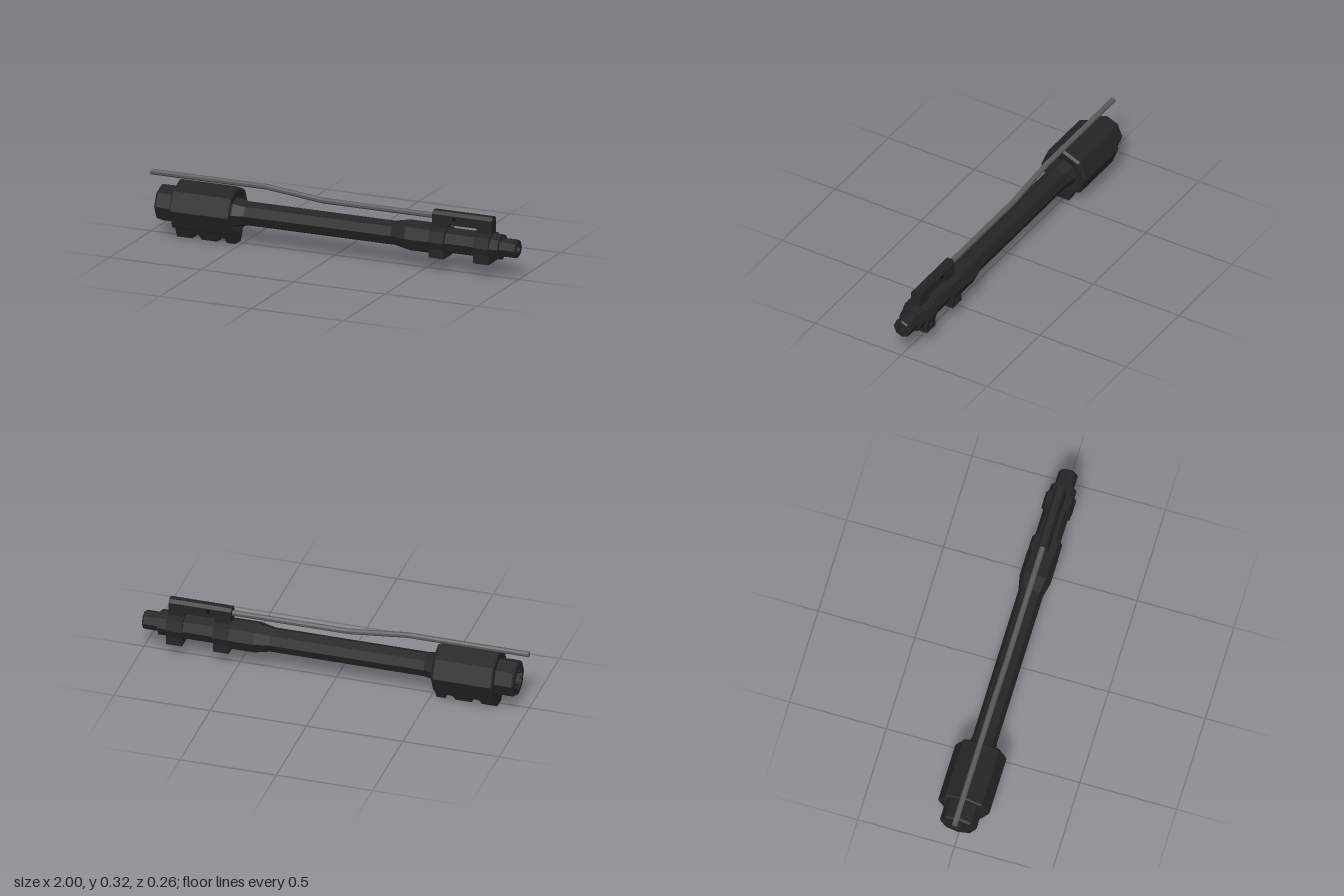
import * as THREE from 'three';

const AXIS = 0.157; // height of the bore line

const mat = (name, color) => {
  const m = new THREE.MeshStandardMaterial({ color, flatShading: true });
  m.name = name;
  return m;
};

export function createModel() {
  const model = new THREE.Group();
  model.name = 'barrelAssembly';
  const black = mat('blackSteel', 0x242424);
  const grey = mat('greySteel', 0x5a5a5a);
  const dark = mat('darkRecess', 0x0c0c0c);

  const add = (name, geometry, material = black) => {
    const mesh = new THREE.Mesh(geometry, material);
    mesh.name = name;
    model.add(mesh);
    return mesh;
  };

  // Eight-sided turned part along x from [x, radius] pairs
  const turned = (name, profile) => {
    const g = new THREE.LatheGeometry(profile.map(([x, r]) => new THREE.Vector2(r, x)), 8);
    return add(name, g.rotateZ(-Math.PI / 2).translate(0, AXIS, 0));
  };

  // Constant cross-section along x, mirrored from its [z, y] half outline (bottom to top)
  const prism = (name, half, x0, x1) => {
    const pts = [...half, ...half.slice().reverse().map(([z, y]) => [-z, y])];
    const shape = new THREE.Shape(pts.map(([z, y]) => new THREE.Vector2(z, y)));
    const g = new THREE.ExtrudeGeometry(shape, { depth: x1 - x0, bevelEnabled: false });
    return add(name, g.rotateY(Math.PI / 2).translate(x0, 0, 0));
  };

  // Barrel with a stepped muzzle, chamber end and open bore
  turned('barrel', [
    [-0.85, 0], [-0.85, 0.055], [-0.945, 0.06], [-0.945, 0.086], [-0.935, 0.094], [-0.8, 0.094],
    [-0.8, 0.076], [-0.53, 0.076], [-0.47, 0.063], [0.33, 0.063], [0.41, 0.08],
    [0.54, 0.08], [0.54, 0.066], [0.912, 0.066], [0.912, 0.049], [0.99, 0.049],
    [0.998, 0.042], [0.998, 0.022], [0.85, 0.022], [0.85, 0],
  ]);

  // Locking lugs inside the chamber end
  for (let i = 0; i < 8; i++) {
    const a = (i + 0.5) * Math.PI / 4;
    const lug = add('lockingLug', new THREE.BoxGeometry(0.05, 0.022, 0.016));
    lug.position.set(-0.915, AXIS + Math.cos(a) * 0.048, Math.sin(a) * 0.048);
    lug.rotation.x = a;
  }

  // Barrel nut
  turned('barrelNut', [
    [-0.845, 0.07], [-0.845, 0.127], [-0.838, 0.132], [-0.54, 0.132],
    [-0.527, 0.122], [-0.527, 0.105], [-0.54, 0.07],
  ]);

  // Notched rail under the nut, narrowing downward
  const rail = new THREE.Shape();
  rail.moveTo(-0.845, 0);
  for (const x of [-0.737, -0.6]) {
    rail.lineTo(x - 0.025, 0);
    rail.absarc(x, 0.002, 0.025, Math.PI, 0, true);
    rail.lineTo(x + 0.025, 0);
  }
  rail.lineTo(-0.527, 0);
  rail.lineTo(-0.527, 0.054);
  rail.lineTo(-0.845, 0.054);
  const railGeo = new THREE.ExtrudeGeometry(rail, { depth: 2, bevelEnabled: false, curveSegments: 6 });
  railGeo.translate(0, 0, -1);
  const p = railGeo.attributes.position;
  for (let i = 0; i < p.count; i++) p.setZ(i, p.getZ(i) * (0.034 + 0.4 * p.getY(i)));
  railGeo.computeVertexNormals();
  add('nutRail', railGeo);

  // Gas block: two clamps joined by a bridge
  const clamp = [
    [0.067, 0.074], [0.067, 0.122], [0.078, 0.157], [0.062, 0.209],
    [0.027, 0.221], [0.027, 0.289], [0.015, 0.306],
  ];
  prism('rearClamp', clamp, 0.54, 0.622);
  prism('frontClamp', clamp, 0.782, 0.865);
  prism('gasBlockBridge', [[0.027, 0.242], [0.027, 0.289], [0.015, 0.306]], 0.6, 0.8);

  // Pin ends and clamp screws on both sides
  for (const side of [1, -1]) {
    const pin = add('pinEnd', new THREE.CylinderGeometry(0.01, 0.01, 0.004, 8), dark);
    pin.rotation.x = Math.PI / 2;
    pin.position.set(0.66, 0.275, side * 0.027);
    for (const x of [0.58, 0.824]) {
      const screw = add('clampScrew', new THREE.CylinderGeometry(0.016, 0.016, 0.006, 6));
      screw.rotation.x = Math.PI / 2;
      screw.position.set(x, 0.098, side * 0.068);
    }
  }

  // Gas tube with a shallow dogleg
  const path = [[-1, 0.307], [-0.37, 0.307], [-0.06, 0.274], [0.56, 0.274]];
  const tube = new THREE.CylinderGeometry(0.0145, 0.0145, 3, 8, 3);
  tube.rotateY(Math.PI / 8).rotateZ(-Math.PI / 2);
  const t = tube.attributes.position;
  for (let i = 0; i < t.count; i++) {
    const [x, y] = path[Math.round(t.getX(i) + 1.5)];
    t.setXY(i, x, y + t.getY(i));
  }
  tube.computeVertexNormals();
  add('gasTube', tube, grey);

  return model;
}
